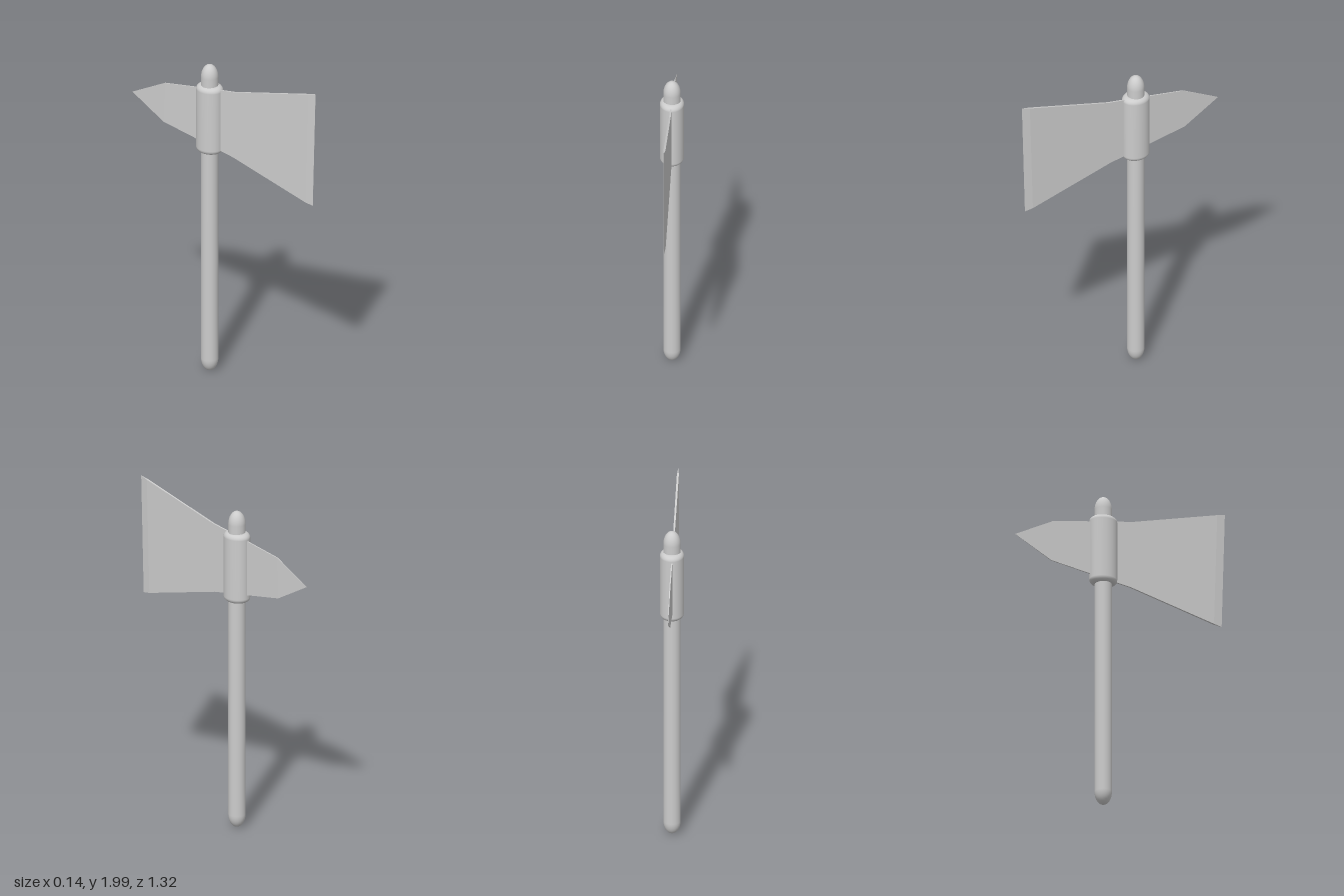
import * as THREE from 'three';

const steel = new THREE.MeshStandardMaterial({ color: 0xcccccc });
steel.name = 'light grey';

const AXIS_Z = -0.102; // the shaft stands a little behind the centre

// Round bar with domed or softened ends, turned around the y axis
function roundedBar(name, y0, y1, radius, cornerR, cornerH) {
  const points = [new THREE.Vector2(0, y0)];
  const steps = 8;
  const flat = radius - cornerR;
  const first = flat > 0 ? 0 : 1;
  for (let i = first; i <= steps; i++) {
    const a = (i / steps) * Math.PI / 2;
    points.push(new THREE.Vector2(flat + cornerR * Math.sin(a), y0 + cornerH * (1 - Math.cos(a))));
  }
  for (let i = steps; i >= first; i--) {
    const a = (i / steps) * Math.PI / 2;
    points.push(new THREE.Vector2(flat + cornerR * Math.sin(a), y1 - cornerH * (1 - Math.cos(a))));
  }
  points.push(new THREE.Vector2(0, y1));
  const mesh = new THREE.Mesh(new THREE.LatheGeometry(points, 32), steel);
  mesh.name = name;
  mesh.position.z = AXIS_Z;
  return mesh;
}

// Thin blade lofted front to back through stations:
// [z bottom, y bottom, z top, y top, half thickness]
function blade(name, stations) {
  const positions = [];
  const quad = (a, b, c, d) => positions.push(...a, ...b, ...c, ...a, ...c, ...d);
  const sections = stations.map(([zb, yb, zt, yt, h]) =>
    [[h, yb, zb], [h, yt, zt], [-h, yt, zt], [-h, yb, zb]]);
  for (let i = 0; i < sections.length - 1; i++) {
    const p = sections[i];
    const q = sections[i + 1];
    for (let k = 0; k < 4; k++) {
      const n = (k + 1) % 4;
      quad(p[k], q[k], q[n], p[n]);
    }
  }
  quad(...sections[0]); // narrow front face
  const geometry = new THREE.BufferGeometry();
  geometry.setAttribute('position', new THREE.Float32BufferAttribute(positions, 3));
  geometry.computeVertexNormals();
  const mesh = new THREE.Mesh(geometry, steel);
  mesh.name = name;
  mesh.position.x = -0.002;
  return mesh;
}

export function createModel() {
  const model = new THREE.Group();
  model.name = 'axe';

  // Long shaft with domed ends
  model.add(roundedBar('shaft', 0.008, 1.98, 0.051, 0.051, 0.08));

  // Oval collar holding the head
  const collar = roundedBar('collar', 1.42, 1.85, 0.071, 0.03, 0.03);
  collar.scale.z = 1.18;
  model.add(collar);

  // Flared cutting blade, from sharp edge back to the collar
  model.add(blade('cuttingBlade', [
    [0.64, 1.275, 0.66, 2.0, 0.0005],
    [0.59, 1.285, 0.61, 1.987, 0.006],
    [0.07, 1.43, 0.08, 1.852, 0.005],
    [-0.1, 1.46, -0.1, 1.825, 0.004],
  ]));

  // Pointed rear spike
  model.add(blade('rearSpike', [
    [-0.1, 1.46, -0.1, 1.825, 0.004],
    [-0.43, 1.52, -0.42, 1.772, 0.003],
    [-0.655, 1.65, -0.655, 1.65, 0.0005],
  ]));

  return model;
}
